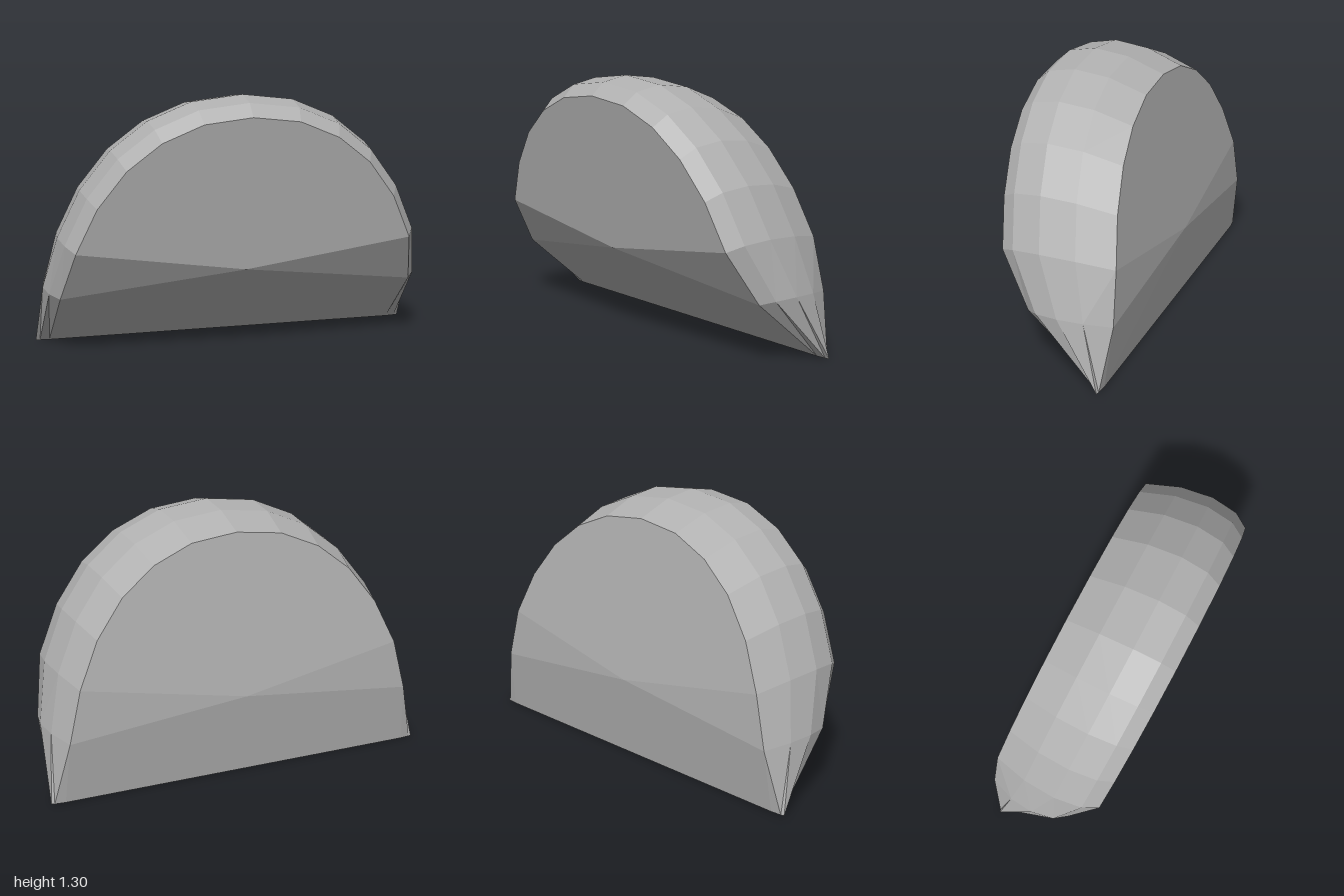
import * as THREE from 'three';

// Half arch from crown to foot (x, y), shared by all five rings
const ARCH = [[0, 1.3], [0.255, 1.27], [0.47, 1.18], [0.65, 1.04], [0.8, 0.845], [0.91, 0.607], [0.977, 0.332], [1, 0]];
const LAST = ARCH.length - 1;
const LEAN = 0.163;

// Rings from front to back: scale, z at crown, z one step above the foot, z at the foot
const RINGS = [
  [0.931, 0.35, 0.09, -0.28],
  [0.979, 0.28, 0.03, -0.285],
  [1, 0.14, -0.085, -0.29],
  [0.984, -0.035, -0.21, -0.295],
  [0.931, -0.22, -0.337, -0.3],
];

// Point on ring r at column k (-LAST..LAST, negative columns mirrored)
function point(r, k) {
  const [scale, crownZ, kneeZ, footZ] = RINGS[r];
  const i = Math.abs(k);
  const y = ARCH[i][1] * scale;
  const leaningZ = crownZ - (ARCH[0][1] * scale - y) * LEAN;
  const z = i === LAST ? footZ : i === LAST - 1 ? kneeZ : leaningZ;
  return [Math.sign(k) * ARCH[i][0] * scale, y, z];
}

function meshFrom(name, triangles, material) {
  const geometry = new THREE.BufferGeometry();
  geometry.setAttribute('position', new THREE.Float32BufferAttribute(triangles.flat(2), 3));
  geometry.computeVertexNormals(); // unshared corners give flat facets
  const mesh = new THREE.Mesh(geometry, material);
  mesh.name = name;
  return mesh;
}

// Fan around a centre, closed across the bottom
function capTriangles(ring, centre, facesFront) {
  const triangles = [];
  for (let k = -LAST; k <= LAST; k++) {
    const a = point(ring, k);
    const b = point(ring, k === LAST ? -LAST : k + 1);
    triangles.push(facesFront ? [centre, b, a] : [centre, a, b]);
  }
  return triangles;
}

export function createModel() {
  const group = new THREE.Group();
  group.name = 'archedBlock';
  const grey = new THREE.MeshStandardMaterial({ color: 0xb0b0b0 });
  grey.name = 'grey';

  // Rounded outer band and the thin strip beneath it
  const band = [];
  const base = [];
  for (let r = 0; r < RINGS.length - 1; r++) {
    for (let k = -LAST; k < LAST; k++) {
      const a = point(r, k), b = point(r, k + 1), c = point(r + 1, k + 1), d = point(r + 1, k);
      if (k >= 0) band.push([a, b, d], [b, c, d]);
      else band.push([a, b, c], [a, c, d]);
    }
    const a = point(r, -LAST), b = point(r, LAST), c = point(r + 1, LAST), d = point(r + 1, -LAST);
    base.push([a, d, c], [a, c, b]);
  }

  group.add(
    meshFrom('outerBand', band, grey),
    meshFrom('baseStrip', base, grey),
    meshFrom('frontFace', capTriangles(0, [0, 0.44, 0.225], true), grey),
    meshFrom('backFace', capTriangles(RINGS.length - 1, [0, 0.41, -0.35], false), grey),
  );
  return group;
}
